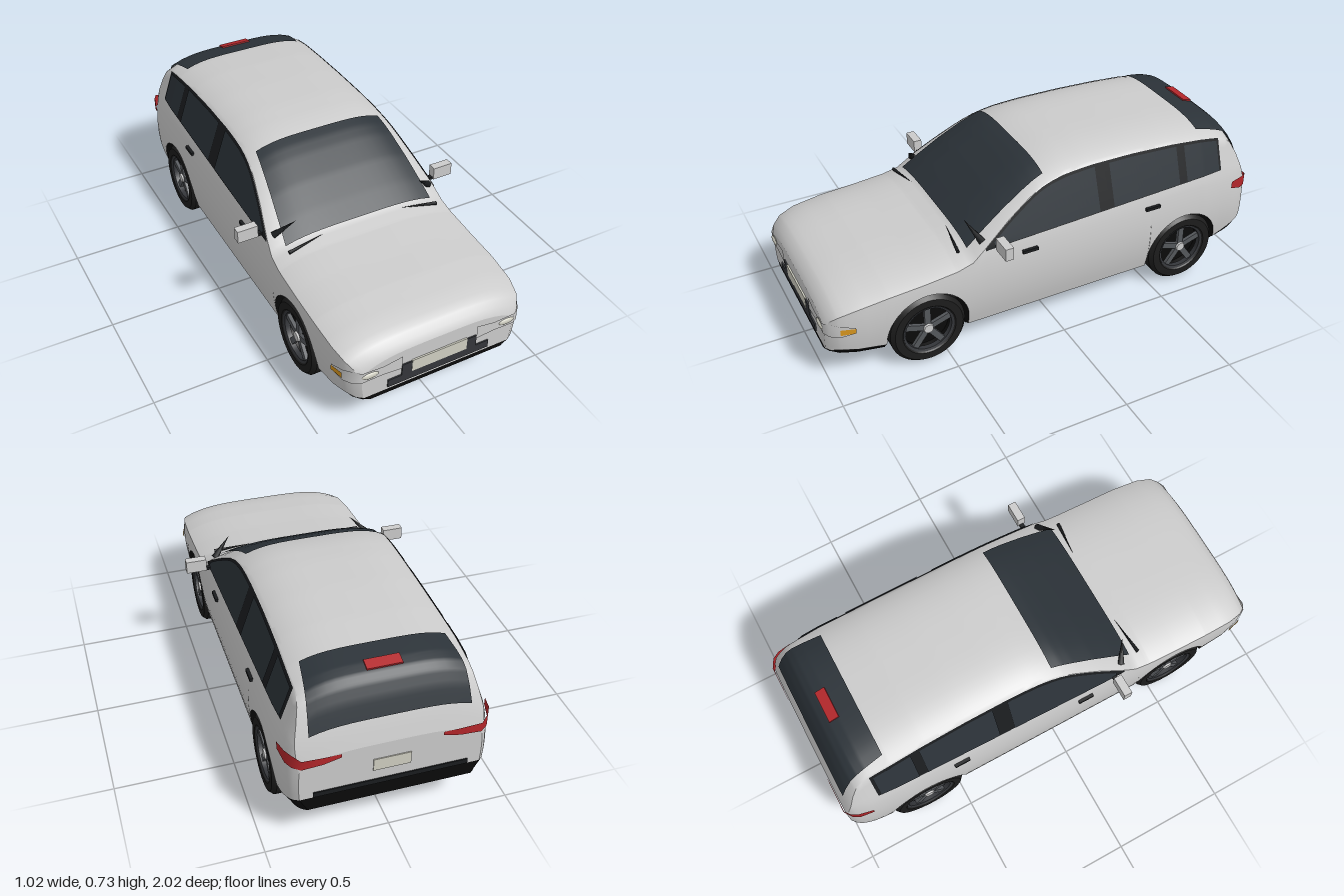
import * as THREE from 'three';
import { toCreasedNormals } from 'three/addons/utils/BufferGeometryUtils.js';

const mat = (color) => new THREE.MeshStandardMaterial({ color, side: THREE.DoubleSide });
const GREY = mat(0xcccccc), GLASS = mat(0x2b3238), BLACK = mat(0x0a0a0a), TRIM = mat(0x1a1c1e);
const RED = mat(0xb3262a), AMBER = mat(0xd9971e), LAMP = mat(0xe8e8e8), PLATE = mat(0xd0cfc2);
const DARK = mat(0x34363a), TYRE = mat(0x1c1c1c);

// Piecewise curve through [z, value] knots, z falling
const curve = (knots) => (z) => {
  if (z >= knots[0][0]) return knots[0][1];
  for (let i = 1; i < knots.length; i++) {
    const [z0, v0] = knots[i - 1], [z1, v1] = knots[i];
    if (z >= z1) return v0 + ((v1 - v0) * (z0 - z)) / (z0 - z1);
  }
  return knots[knots.length - 1][1];
};

// Body lines along the car: centre top, half width, sill and floor
const TOP = [[1, 0.345], [0.985, 0.375], [0.95, 0.4], [0.88, 0.42], [0.75, 0.437], [0.6, 0.447], [0.45, 0.462],
  [0.38, 0.48], [0.3, 0.54], [0.2, 0.61], [0.1, 0.67], [0.05, 0.695], [0, 0.712], [-0.08, 0.727], [-0.2, 0.734], [-0.4, 0.733],
  [-0.6, 0.724], [-0.75, 0.711], [-0.84, 0.697], [-0.88, 0.684], [-0.91, 0.66], [-0.94, 0.606], [-0.97, 0.53],
  [-0.985, 0.485], [-1, 0.435]];
const topLine = curve(TOP);
const width = curve([[1, 0.345], [0.985, 0.37], [0.95, 0.393], [0.88, 0.41], [0.75, 0.418], [0.5, 0.42],
  [-0.75, 0.42], [-0.9, 0.412], [-0.95, 0.402], [-0.98, 0.388], [-1, 0.365]]);
const sill = curve([[1, 0.17], [0.95, 0.182], [0.77, 0.15], [0.7, 0.115], [-0.75, 0.115], [-0.84, 0.17], [-1, 0.235]]);
const floor = curve([[1, 0.15], [0.75, 0.11], [0.5, 0.097], [-0.6, 0.097], [-0.8, 0.125], [-1, 0.175]]);

// Wheel arches lift the lower edge of the body
const WHEELS = [0.585, -0.65], WHEEL_R = 0.165, ARCH_R = 0.18;
const archHub = (z) => WHEELS.find((w) => Math.abs(z - w) < ARCH_R + 1e-6);
const lip = (z) => {
  const w = archHub(z);
  return w === undefined ? sill(z) : WHEEL_R + Math.sqrt(Math.max(0, ARCH_R ** 2 - (z - w) ** 2));
};

// Skin of the body: half width at a height, height at a half width
const eave = (z) => topLine(z) - 0.05;
const belt = (z) => Math.min(0.48, eave(z));
const lowerX = (z, y) => width(z) - 0.028 * ((y - 0.3) / 0.2) ** 2;
const sideX = (z, y) => {
  const b = belt(z);
  return y <= b ? lowerX(z, y) : lowerX(z, b) - (y - b) * 0.35;
};
const crownY = (z, x) => eave(z) + 0.05 * (1 - Math.min(1, Math.abs(x) / sideX(z, eave(z))) ** 4);

// Cross-section from the left lip over the roof to the right lip
function bodySection(z) {
  const half = [], y0 = lip(z), b = belt(z), e = eave(z);
  for (let i = 0; i < 8; i++) { const y = y0 + ((b - y0) * i) / 8; half.push([sideX(z, y), y]); }
  for (let i = 0; i < 4; i++) { const y = b + ((e - b) * i) / 4; half.push([sideX(z, y), y]); }
  for (let i = 0; i < 10; i++) { const x = sideX(z, e) * Math.cos((i / 10) * Math.PI / 2); half.push([x, crownY(z, x)]); }
  return [...half, [0, topLine(z)], ...half.map(([x, y]) => [-x, y]).reverse()];
}

// Underside with the inner wheel wells
function underSection(z) {
  const y0 = lip(z), f = floor(z), inArch = archHub(z) !== undefined;
  const xi = inArch ? 0.28 : sideX(z, y0) - 0.03;
  const half = [[-sideX(z, y0), y0], [-xi, inArch ? y0 : f + 0.004], [-xi, f]];
  return [...half, [0, f], ...half.map(([x, y]) => [-x, y]).reverse()];
}

// Grid surface from point(u, v)
function grid(point, nu, nv, crease = 0.7) {
  const pos = [], idx = [];
  for (let j = 0; j <= nv; j++) for (let i = 0; i <= nu; i++) pos.push(...point(i / nu, j / nv));
  for (let j = 0; j < nv; j++) for (let i = 0; i < nu; i++) {
    const a = j * (nu + 1) + i, c = a + nu + 1;
    idx.push(a, a + 1, c, a + 1, c + 1, c);
  }
  const g = new THREE.BufferGeometry();
  g.setAttribute('position', new THREE.Float32BufferAttribute(pos, 3));
  g.setIndex(idx);
  return toCreasedNormals(g, crease);
}

function loft(section, stations, crease) {
  const rings = stations.map((z) => section(z).map(([x, y]) => [x, y, z]));
  const nu = rings[0].length - 1, nv = rings.length - 1;
  return grid((u, v) => rings[Math.round(v * nv)][Math.round(u * nu)], nu, nv, crease);
}

function add(parent, name, geometry, material, x = 0, y = 0, z = 0) {
  const m = new THREE.Mesh(geometry, material);
  m.name = name;
  m.position.set(x, y, z);
  parent.add(m);
  return m;
}
const box = (w, h, d) => new THREE.BoxGeometry(w, h, d);

// Patch lying on the body side between two heights
const sidePatch = (zA, zB, lo, hi, off) => grid((u, v) => {
  const z = zA + (zB - zA) * v, a = lo(z), y = a + (Math.max(a, hi(z)) - a) * u;
  return [sideX(z, y) + off, y, z];
}, 5, 24);

// Patch lying on the crown, for windscreen and rear window
const crownPatch = (zA, zB, xA, xB, dz) => grid((u, v) => {
  const z = zA + (zB - zA) * v, x = (xA + (xB - xA) * v) * (1 - 2 * u);
  return [x, crownY(z, x) + 0.006, z + dz];
}, 16, 30);

// Upright strip along a plan path of [x, z, low, high]
const ribbon = (path) => grid((u, v) => {
  const [x, z, lo, hi] = path[Math.round(v * (path.length - 1))];
  return [x, u ? hi : lo, z];
}, 1, path.length - 1);

// Tapered spike between two points
function spike(parent, name, a, b, r) {
  const A = new THREE.Vector3(...a), B = new THREE.Vector3(...b), d = B.clone().sub(A);
  const m = add(parent, name, new THREE.ConeGeometry(r, d.length(), 6), TRIM);
  m.position.copy(A).add(B).multiplyScalar(0.5);
  m.quaternion.setFromUnitVectors(new THREE.Vector3(0, 1, 0), d.normalize());
}

function wheel(z) {
  const g = new THREE.Group();
  g.name = 'wheel';
  g.position.set(0.365, WHEEL_R, z);
  const lathe = (pts) => toCreasedNormals(new THREE.LatheGeometry(pts.map((p) => new THREE.Vector2(...p)), 40).rotateZ(-Math.PI / 2), 0.6);
  add(g, 'tyre', lathe([[0.11, -0.05], [0.15, -0.05], [0.165, -0.033], [0.165, 0.033], [0.15, 0.05], [0.118, 0.05], [0.11, 0.042], [0.11, -0.05]]), TYRE);
  add(g, 'rimRing', lathe([[0.102, 0.02], [0.102, 0.042], [0.112, 0.046], [0.114, 0.03]]), DARK);
  add(g, 'rimDish', lathe([[0, 0], [0.105, 0], [0.111, 0.03]]), BLACK);
  add(g, 'hubCap', new THREE.CylinderGeometry(0.02, 0.026, 0.02, 20).rotateZ(-Math.PI / 2), GREY, 0.034);
  for (let i = 0; i < 5; i++) {
    const s = add(g, 'spoke', box(0.016, 0.095, 0.027).translate(0, 0.06, 0), mat(0x55585c), 0.028);
    s.rotation.x = (i * 2 * Math.PI) / 5;
  }
  return g;
}

// Everything that appears once on each side, built on the left
function sideParts() {
  const g = new THREE.Group();
  const low = (z) => 0.474 - (z - 0.27) * 0.035;
  const high = (z) => Math.min(0.682, eave(z) - 0.003);
  add(g, 'windowTrim', sidePatch(0.32, -0.845, (z) => low(z) - 0.006, (z) => high(z) + 0.004, 0.003), TRIM);
  for (const [a, b] of [[0.28, -0.215], [-0.285, -0.62], [-0.66, -0.832]])
    add(g, 'sideWindow', sidePatch(a, b, low, (z) => high(z) - 0.006, 0.007), GLASS);
  for (const [z, y] of [[0.125, 0.415], [-0.475, 0.435]])
    add(g, 'doorHandle', box(0.014, 0.014, 0.07), TRIM, sideX(z, y) + 0.005, y, z);
  add(g, 'headlight', ribbon([[0.17, 1.004, 0.255, 0.318], [0.25, 1.004, 0.262, 0.305], [0.345, 1.004, 0.26, 0.31],
    [0.373, 0.987, 0.255, 0.318], [0.398, 0.95, 0.255, 0.31], [0.414, 0.89, 0.268, 0.295]]), LAMP);
  add(g, 'headlightLens', new THREE.SphereGeometry(1, 20, 12).scale(0.037, 0.015, 0.01), PLATE, 0.31, 0.285, 1.002);
  add(g, 'indicator', ribbon([[0.402, 0.95, 0.268, 0.295], [0.417, 0.89, 0.27, 0.292]]), AMBER);
  add(g, 'tailLight', ribbon([[0.2, -1.004, 0.412, 0.428], [0.27, -1.004, 0.395, 0.428], [0.355, -1.004, 0.39, 0.432],
    [0.386, -0.982, 0.392, 0.452], [0.404, -0.95, 0.396, 0.454], [0.416, -0.89, 0.415, 0.448]]), RED);
  add(g, 'mirror', box(0.09, 0.056, 0.036), GREY, 0.467, 0.503, 0.268);
  add(g, 'mirrorArm', box(0.06, 0.012, 0.02), TRIM, 0.415, 0.477, 0.268);
  spike(g, 'windscreenPost', [0.37, 0.49, 0.32], [0.29, 0.565, 0.365], 0.016);
  spike(g, 'wiper', [0.35, 0.462, 0.42], [0.18, 0.484, 0.4], 0.008);
  for (const z of WHEELS) g.add(wheel(z));
  return g;
}

export function createModel() {
  const car = new THREE.Group();
  car.name = 'car';

  // Loft stations: even steps, the knots of the top line, and the arches
  const set = TOP.map((k) => k[0]);
  for (let i = 0; i <= 50; i++) set.push(1 - i / 25);
  for (const w of WHEELS) {
    for (let i = 0; i <= 24; i++) set.push(w + ARCH_R * Math.cos((i / 24) * Math.PI));
    set.push(w + ARCH_R + 0.001, w - ARCH_R - 0.001);
  }
  const stations = set.sort((a, b) => a - b).filter((z, i, s) => i === 0 || z - s[i - 1] > 5e-4);

  // Shell and underside, closed at nose and tail
  add(car, 'bodyShell', loft(bodySection, stations, 0.75), GREY);
  add(car, 'underbody', loft(underSection, stations, 0.4), BLACK);
  for (const z of [1, -1]) {
    const cap = (section) => new THREE.ShapeGeometry(new THREE.Shape(section(z).map((p) => new THREE.Vector2(...p))));
    add(car, z > 0 ? 'nosePanel' : 'tailPanel', cap(bodySection), GREY, 0, 0, z);
    add(car, z > 0 ? 'frontSkirt' : 'rearSkirt', cap(underSection), BLACK, 0, 0, z);
  }

  // Front and rear glass with the high brake light
  add(car, 'windscreen', crownPatch(0.375, 0.005, 0.345, 0.295, 0.004), GLASS);
  add(car, 'rearWindow', crownPatch(-0.75, -0.968, 0.288, 0.318, -0.006), GLASS);
  const brake = add(car, 'brakeLight', box(0.14, 0.012, 0.045), RED, 0, 0.699, -0.86);
  brake.rotation.x = -0.25;

  // Grille, plates and rear bumper strip
  add(car, 'grilleBar', box(0.46, 0.036, 0.012), DARK, 0, 0.202, 1);
  for (const s of [1, -1]) add(car, 'grilleUpright', box(0.045, 0.055, 0.012), DARK, s * 0.147, 0.245, 1);
  add(car, 'frontPlate', box(0.25, 0.056, 0.014), PLATE, 0, 0.249, 1);
  add(car, 'rearPlate', box(0.15, 0.055, 0.008), PLATE, 0, 0.335, -1);
  add(car, 'rearBumperStrip', box(0.62, 0.022, 0.014), TRIM, 0, 0.25, -0.998);

  // Left side and its mirror image
  for (const s of [1, -1]) {
    const side = sideParts();
    side.name = s > 0 ? 'leftSide' : 'rightSide';
    side.scale.x = s;
    car.add(side);
  }
  return car;
}
